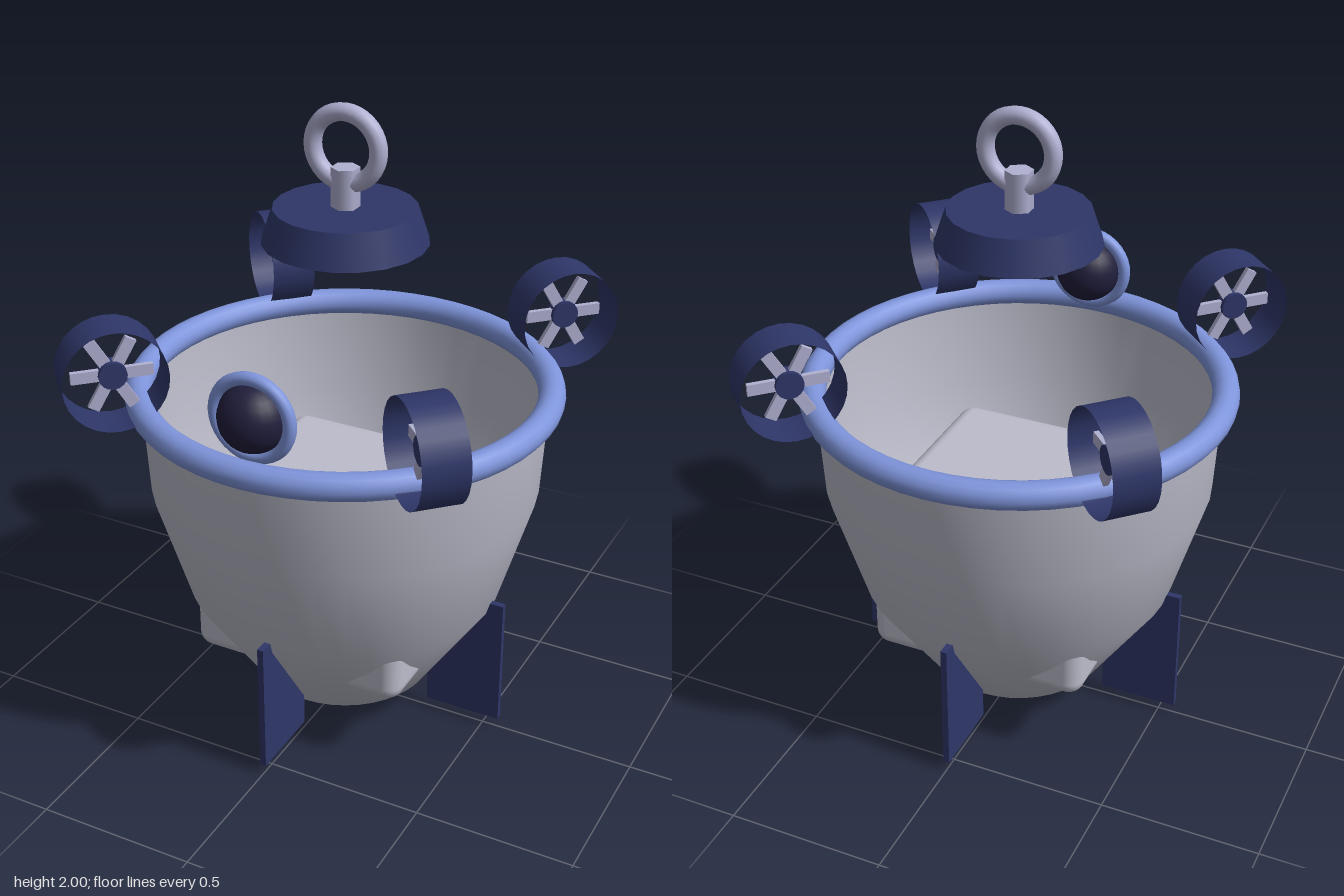
import * as THREE from 'three';
import { RoundedBoxGeometry } from 'three/addons/geometries/RoundedBoxGeometry.js';

const mat = (name, color, side = THREE.FrontSide) => {
  const m = new THREE.MeshStandardMaterial({ color, side });
  m.name = name;
  return m;
};

export function createModel() {
  const hull = mat('hull grey', 0xbcbccb, THREE.DoubleSide);
  const navy = mat('navy', 0x2e3668, THREE.DoubleSide);
  const blue = mat('trim blue', 0x7f95dc);
  const metal = mat('pale metal', 0xb0b0d2);
  const lens = mat('dark lens', 0x211e3c);

  const model = new THREE.Group();
  const add = (name, geometry, material, x = 0, y = 0, z = 0, parent = model) => {
    const mesh = new THREE.Mesh(geometry, material);
    mesh.name = name;
    mesh.position.set(x, y, z);
    parent.add(mesh);
    return mesh;
  };

  // Open cup-shaped hull with a rolled rim
  const profile = [[0, 0.005], [0.285, 0.11], [0.5, 0.43], [0.607, 0.79], [0.625, 1.11]]
    .map(([r, y]) => new THREE.Vector2(r, y));
  add('hull', new THREE.LatheGeometry(profile, 40), hull);
  add('rim', new THREE.TorusGeometry(0.63, 0.042, 14, 56), blue, 0, 1.112, 0).rotation.x = Math.PI / 2;

  // Inner cabin, whose lower corners push through the hull
  add('cabin', new RoundedBoxGeometry(0.714, 0.53, 0.714, 4, 0.05), hull, 0, 0.515, 0);
  add('cabinTrim', new THREE.BoxGeometry(0.734, 0.03, 0.734), blue, 0, 0.52, 0);

  // Four upright fins
  for (let i = 0; i < 4; i++) {
    const arm = new THREE.Group();
    arm.name = 'finArm';
    arm.rotation.y = i * Math.PI / 2;
    add('fin', new THREE.BoxGeometry(0.25, 0.43, 0.02), navy, 0.43, 0.255, 0, arm);
    model.add(arm);
  }

  // Four ducted thrusters on the rim, axes tangential to it
  for (let i = 0; i < 4; i++) {
    const arm = new THREE.Group();
    arm.name = 'thrusterArm';
    arm.rotation.y = Math.PI / 4 + i * Math.PI / 2;
    const thruster = new THREE.Group();
    thruster.name = 'thruster';
    thruster.position.set(0.714, 1.255, 0);
    arm.add(thruster);
    add('duct', new THREE.CylinderGeometry(0.158, 0.158, 0.14, 28, 1, true), navy, 0, 0, 0, thruster)
      .rotation.x = Math.PI / 2;
    add('hub', new THREE.CylinderGeometry(0.043, 0.043, 0.045, 16), navy, 0, 0, 0, thruster)
      .rotation.x = Math.PI / 2;
    for (let b = 0; b < 6; b++) {
      const a = b * Math.PI / 3;
      add('blade', new THREE.BoxGeometry(0.095, 0.036, 0.016), metal,
        Math.cos(a) * 0.075, Math.sin(a) * 0.075, 0, thruster).rotation.z = a;
    }
    model.add(arm);
  }

  // Round lamp at the front
  add('lamp', new THREE.SphereGeometry(0.105, 24, 16), lens, 0, 1.257, 0.552);
  add('lampRing', new THREE.TorusGeometry(0.12, 0.02, 12, 36), blue, 0, 1.257, 0.563);

  // Floating cap with lifting eye
  add('cap', new THREE.CylinderGeometry(0.215, 0.25, 0.105, 20), navy, 0, 1.637, 0);
  add('stem', new THREE.CylinderGeometry(0.043, 0.043, 0.13, 6), metal, 0, 1.745, 0);
  add('liftingRing', new THREE.TorusGeometry(0.106, 0.027, 12, 36), metal, 0, 1.867, 0);

  return model;
}
